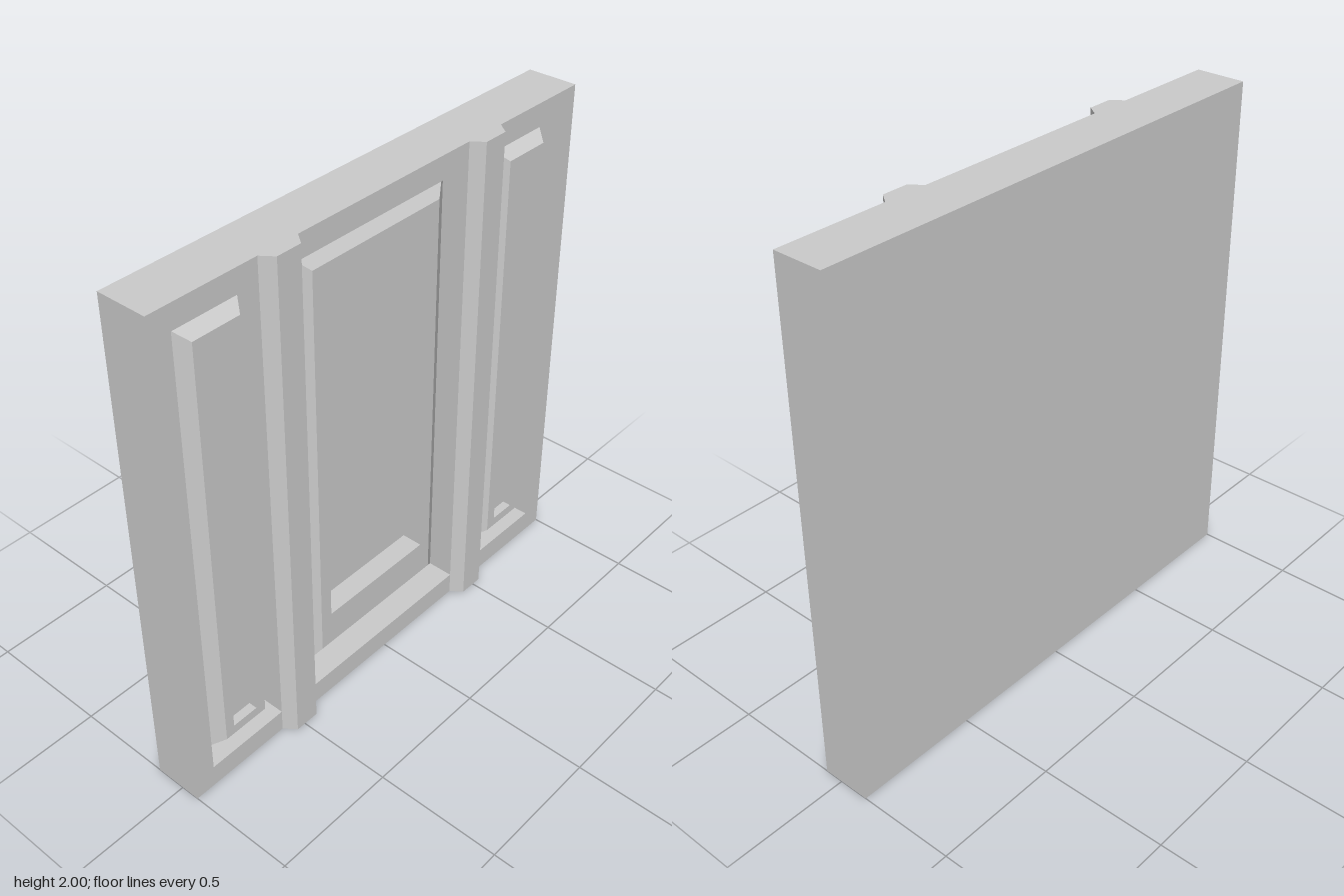
import * as THREE from 'three';

const material = new THREE.MeshStandardMaterial({ color: 0xcccccc, flatShading: true });

// Depths measured along the direction the panelled face looks
const BACK = -0.12, BED = -0.05, FACE = 0.075, RIB = 0.12, GROOVE = -0.03;

// Each panel: rectangles [centre u, half width, bottom, top] plus field and inset depths
const centrePanel = {
  name: 'centrePanel', field: 0.035, inset: BED,
  opening: [0, 0.404, 0.09, 1.91], raised: [0, 0.307, 0.185, 1.815], sunk: [0, 0.256, 0.327, 1.677],
};
const sidePanel = (s, name) => ({
  name, field: 0.07, inset: 0.035,
  opening: [s * 0.743, 0.171, 0.09, 1.91],
  raised: [s * 0.743, 0.095, 0.167, 1.835],
  sunk: [s * 0.745, 0.055, 0.205, 1.795],
});

// Counter-clockwise corners of a rectangle
const corners = ([c, h, b, t]) => [[c - h, b], [c + h, b], [c + h, t], [c - h, t]];
const toPath = (rect) => new THREE.Path(corners(rect).map(([u, v]) => new THREE.Vector2(u, v)));

// Nested rectangular rings joined by flat faces, closed by the last ring
function ringGeometry(rings) {
  const pos = [];
  const quad = (a, b, c, d) => pos.push(...a, ...b, ...c, ...a, ...c, ...d);
  const loops = rings.map(([rect, depth]) => corners(rect).map((p) => [...p, depth]));
  for (let r = 0; r < loops.length - 1; r++) {
    for (let i = 0; i < 4; i++) {
      const j = (i + 1) % 4;
      quad(loops[r][i], loops[r][j], loops[r + 1][j], loops[r + 1][i]);
    }
  }
  quad(...loops[loops.length - 1]);
  const geometry = new THREE.BufferGeometry();
  geometry.setAttribute('position', new THREE.Float32BufferAttribute(pos, 3));
  geometry.computeVertexNormals();
  return geometry;
}

export function createModel() {
  const model = new THREE.Group();
  model.name = 'panelledSlab';
  const body = new THREE.Group();
  body.name = 'body';
  body.rotation.y = Math.PI / 2; // turn the panelled face towards +x
  model.add(body);

  const add = (name, geometry) => {
    const mesh = new THREE.Mesh(geometry, material);
    mesh.name = name;
    body.add(mesh);
    return mesh;
  };

  const panels = [centrePanel, sidePanel(-1, 'leftPanel'), sidePanel(1, 'rightPanel')];

  // Solid backing board
  add('backBoard', new THREE.BoxGeometry(2, 2, BED - BACK)).position.set(0, 1, (BED + BACK) / 2);

  // Frame with three rectangular openings
  const frame = new THREE.Shape(corners([0, 1, 0, 2]).map(([u, v]) => new THREE.Vector2(u, v)));
  frame.holes = panels.map((p) => toPath(p.opening));
  add('frame', new THREE.ExtrudeGeometry(frame, { depth: FACE - BED, bevelEnabled: false }))
    .position.z = BED;

  // Raised panels: bevel up from the groove, flat border, sunken middle
  for (const p of panels) {
    add(p.name, ringGeometry([
      [p.opening, GROOVE], [p.raised, p.field], [p.sunk, p.field], [p.sunk, p.inset],
    ]));
  }

  // Full-height chamfered ribs between the panels
  const profile = new THREE.Shape([
    [-0.084, -FACE], [0.084, -FACE], [0.05, -RIB], [-0.05, -RIB],
  ].map(([u, d]) => new THREE.Vector2(u, d)));
  for (const s of [-1, 1]) {
    const geometry = new THREE.ExtrudeGeometry(profile, { depth: 2, bevelEnabled: false });
    geometry.rotateX(-Math.PI / 2);
    add(s < 0 ? 'leftRib' : 'rightRib', geometry).position.x = s * 0.488;
  }

  return model;
}
